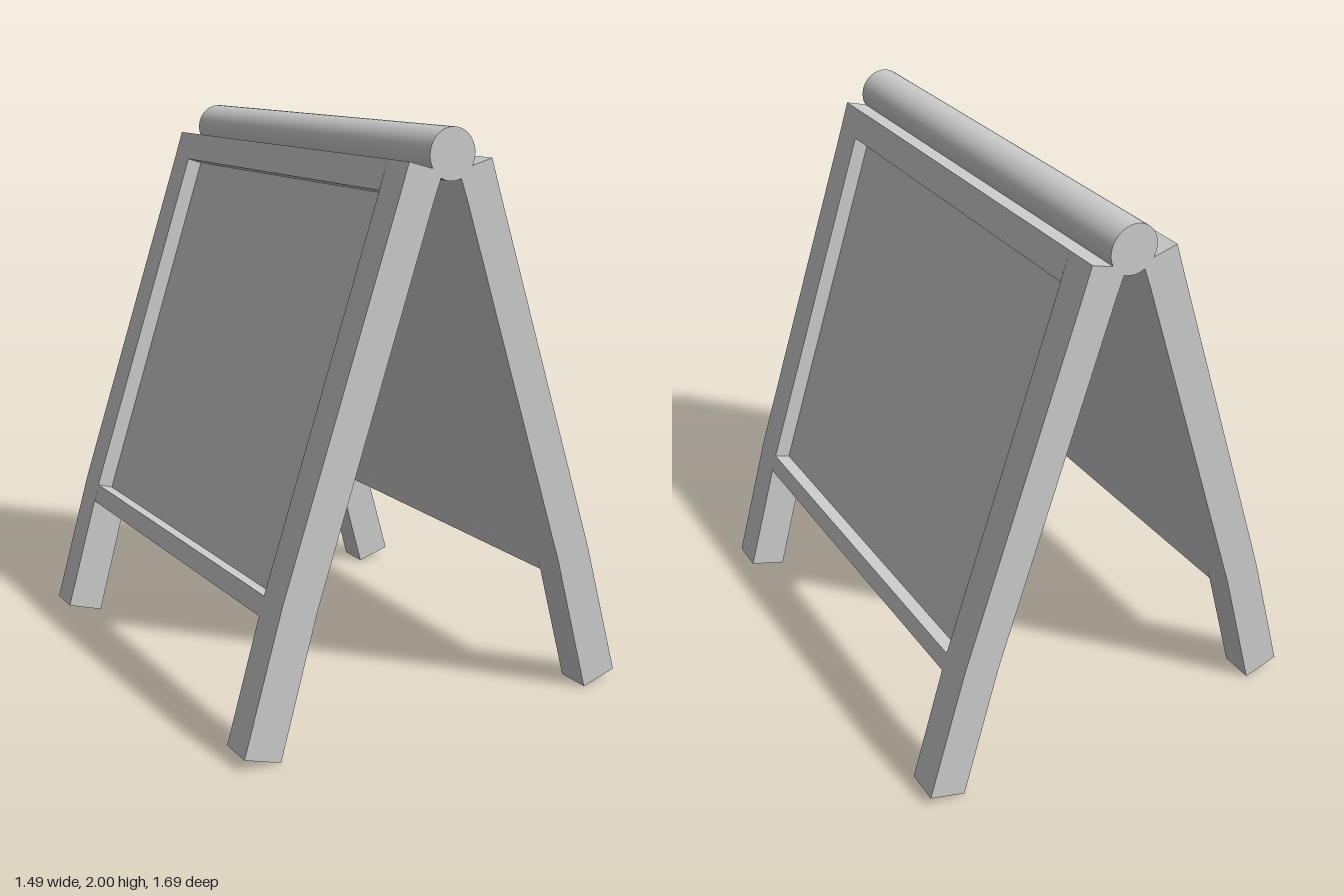
import * as THREE from 'three';

const material = new THREE.MeshStandardMaterial({ color: 0xcccccc });
const HALF = 0.845;   // half depth of the whole stand
const INNER = 0.72;   // half depth between the legs

// Side cross-sections (x, y) of one leaf; the other leaf mirrors them in x
const LEG = [
  [0.156, 1.897], [0.19, 1.79], [0.607, 0.525], [0.745, 0.04],
  [0.614, 0], [0.48, 0.49], [0.063, 1.77], [0.03, 1.862],
];
const TOP_RAIL = [
  [0.156, 1.897], [0.188, 1.8], [0.133, 1.783], [0.063, 1.77], [0.03, 1.862],
];
const PANEL = [[0.133, 1.783], [0.55, 0.507], [0.48, 0.49], [0.063, 1.77]];
const BOTTOM_RAIL = [
  [0.607, 0.525], [0.625, 0.46], [0.497, 0.425], [0.48, 0.49], [0.55, 0.507],
];

// Extrudes a cross-section from z0 to z1, mirrored by side (+1 or -1)
function slab(name, points, side, z0, z1) {
  const shape = new THREE.Shape(points.map(([x, y]) => new THREE.Vector2(x * side, y)));
  const geometry = new THREE.ExtrudeGeometry(shape, { depth: z1 - z0, bevelEnabled: false });
  geometry.translate(0, 0, z0);
  const mesh = new THREE.Mesh(geometry, material);
  mesh.name = name;
  return mesh;
}

export function createModel() {
  const model = new THREE.Group();
  model.name = 'sandwichBoard';

  // Two hinged leaves, each with legs, rails and a recessed panel
  for (const side of [1, -1]) {
    const leaf = new THREE.Group();
    leaf.name = side > 0 ? 'leftLeaf' : 'rightLeaf';
    leaf.add(
      slab('frontLeg', LEG, side, INNER, HALF),
      slab('backLeg', LEG, side, -HALF, -INNER),
      slab('topRail', TOP_RAIL, side, -INNER, INNER),
      slab('panel', PANEL, side, -INNER, INNER),
      slab('bottomRail', BOTTOM_RAIL, side, -INNER, INNER),
    );
    model.add(leaf);
  }

  // Round hinge bar along the ridge
  const hinge = new THREE.Mesh(new THREE.CylinderGeometry(0.085, 0.085, HALF * 2, 48), material);
  hinge.name = 'hingeBar';
  hinge.rotation.x = Math.PI / 2;
  hinge.position.set(0.005, 1.915, 0);
  model.add(hinge);

  return model;
}
